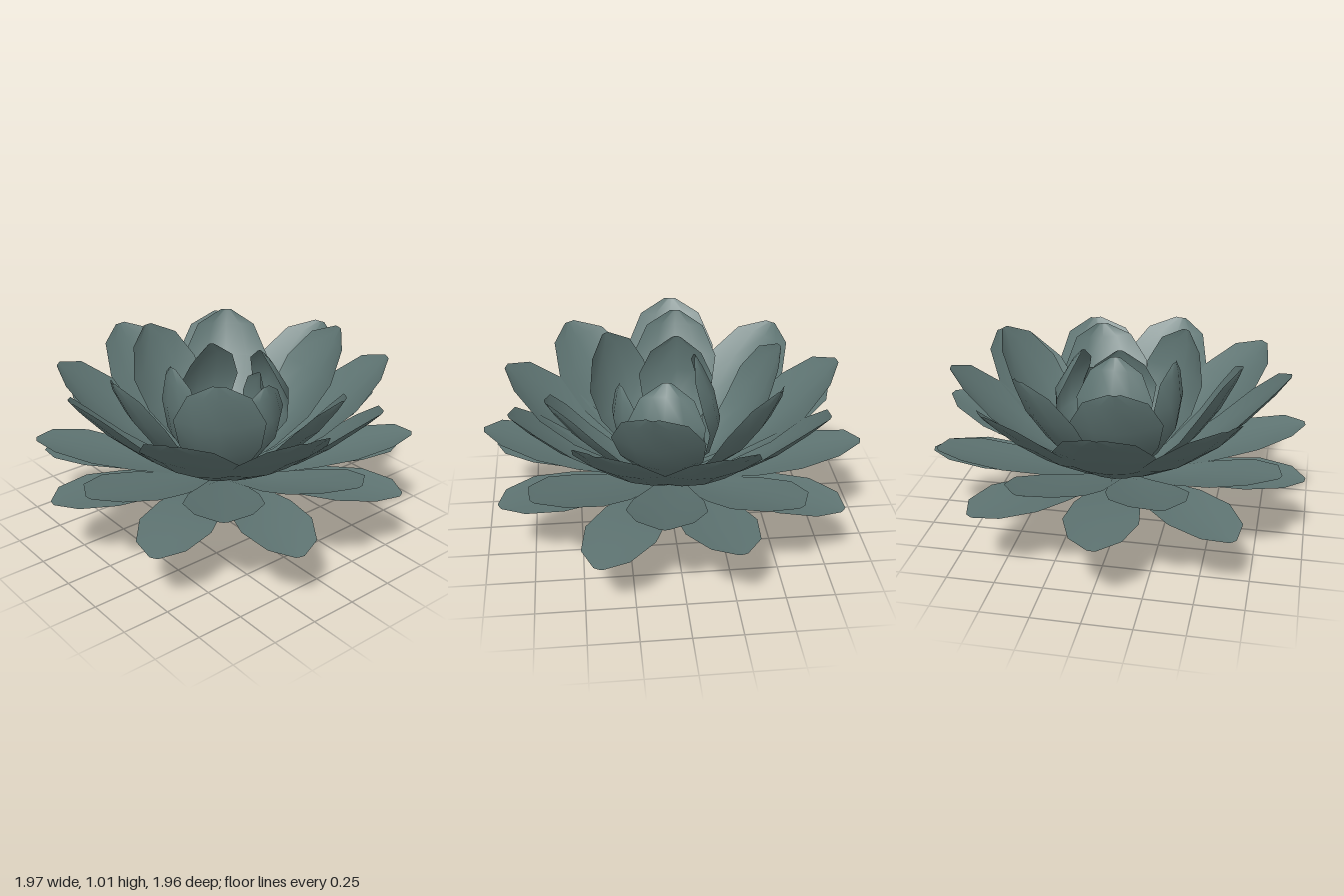
import * as THREE from 'three';

const petalGreen = new THREE.MeshStandardMaterial({ color: 0x5f7573, side: THREE.DoubleSide });
petalGreen.name = 'greyGreen';

// Half-width along a petal: [distance along, fraction of full half-width]
const OUTLINE = [[0, 0.24], [0.25, 0.56], [0.5, 0.9], [0.72, 1], [0.91, 0.68], [1, 0.12]];
const COLS = 4;

// A cupped petal swept along a curve in the (radius, height) plane, pointing along +x
function petalGeometry(base, bend, tip, width, cup) {
  const curve = new THREE.QuadraticBezierCurve(
    new THREE.Vector2(...base), new THREE.Vector2(...bend), new THREE.Vector2(...tip));
  const pos = [], index = [];
  OUTLINE.forEach(([t, w], i) => {
    const p = curve.getPointAt(t), d = curve.getTangentAt(t);
    for (let j = 0; j <= COLS; j++) {
      const u = (j / COLS) * 2 - 1;
      const half = w * width / 2;
      const lift = cup * u * u * half;
      pos.push(p.x - d.y * lift, p.y + d.x * lift, u * half);
      if (i > 0 && j > 0) {
        const e = i * (COLS + 1) + j, c = e - 1, b = e - COLS - 1, a = b - 1;
        index.push(a, e, b, a, c, e);
      }
    }
  });
  const geo = new THREE.BufferGeometry();
  geo.setAttribute('position', new THREE.Float32BufferAttribute(pos, 3));
  geo.setIndex(index);
  geo.computeVertexNormals();
  return geo;
}

// A full ring of evenly turned petals: one [angle, reach, tip height] for each height
function evenRing(start, step, reach, heights) {
  return heights.map((height, i) => [start + i * step, reach, height]);
}

// Rings from the outside in; angles run from +x towards +z in degrees
const RINGS = [
  {
    name: 'lowestPetal', base: [0.04, 0.27], bend: [0.5, 0.38], width: 0.37, cup: 0.08,
    petals: evenRing(18, 39.7, 0.99, [0.36, 0.36, 0.4, 0.36, 0.4, 0.4, 0.45, 0.36, 0.41]),
  },
  {
    name: 'lowerPetal', base: [0.04, 0.28], bend: [0.52, 0.43], width: 0.39, cup: 0.12,
    petals: evenRing(-1, 39.8, 0.98, [0.63, 0.58, 0.57, 0.58, 0.6, 0.62, 0.6, 0.62, 0.6]),
  },
  {
    name: 'middlePetal', base: [0.05, 0.29], bend: [0.53, 0.46], width: 0.49, cup: 0.2,
    petals: evenRing(13, 40.8, 0.88, [0.88, 0.89, 0.94, 0.88, 0.9, 0.89, 0.9, 0.9, 0.86]),
  },
  {
    name: 'upperPetal', base: [0.05, 0.31], bend: [0.46, 0.46], width: 0.46, cup: 0.3,
    petals: [[-20, 0.69, 0.89], [42, 0.45, 1.0], [97, 0.64, 0.97], [172, 0.58, 0.99],
      [220, 0.64, 0.99], [283, 0.69, 1.01]],
  },
  {
    name: 'innerPetal', base: [0.05, 0.32], bend: [0.42, 0.5], width: 0.4, cup: 0.4,
    petals: [[100, 0.3, 0.97], [182, 0.12, 1.0], [-12, 0.28, 0.88]],
  },
  {
    name: 'curledPetal', base: [0.05, 0.32], bend: [0.58, 0.6], width: 0.4, cup: 0.4,
    petals: [[-78, 0.22, 0.96]],
  },
  {
    name: 'heartPetal', base: [0.04, 0.33], bend: [0.28, 0.48], width: 0.32, cup: 0.4,
    petals: [[-68, 0.2, 0.85], [150, 0.07, 0.74]],
  },
];

export function createModel() {
  const model = new THREE.Group();
  model.name = 'flower';

  for (const ring of RINGS) {
    const group = new THREE.Group();
    group.name = ring.name + 'Ring';
    for (const [angle, reach, height] of ring.petals) {
      const geo = petalGeometry(ring.base, ring.bend, [reach, height], ring.width, ring.cup);
      const petal = new THREE.Mesh(geo, petalGreen);
      petal.name = ring.name;
      petal.rotation.y = -THREE.MathUtils.degToRad(angle);
      group.add(petal);
    }
    model.add(group);
  }

  // Pointed stem under the petals, its tip slightly towards the back
  const stemGeo = new THREE.ConeGeometry(0.12, 0.29, 5, 1, true);
  stemGeo.rotateX(Math.PI);
  stemGeo.translate(0, 0.145, -0.03);
  const stem = new THREE.Mesh(stemGeo, petalGreen);
  stem.name = 'stem';
  model.add(stem);

  return model;
}
